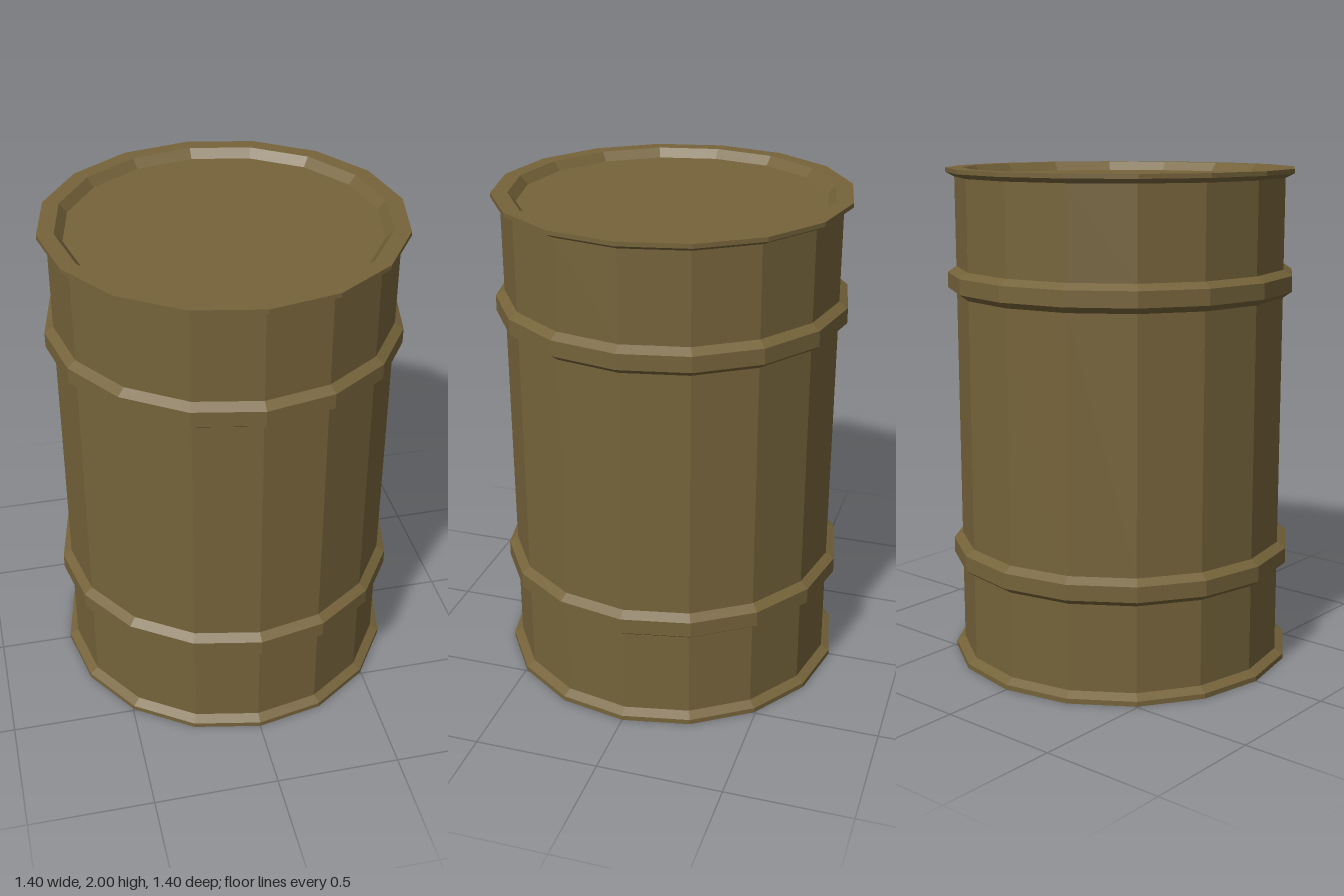
import * as THREE from 'three';

const SIDES = 16;
const WALL = 0.665; // drum wall radius
const RIM = 0.7;    // outer radius of rims and ribs

export function createModel() {
  const drum = new THREE.Group();
  drum.name = 'drum';
  const material = new THREE.MeshStandardMaterial({ color: 0x75633a, flatShading: true });

  // Turn a [radius, height] profile, listed bottom to top on the outside
  const turn = (name, profile) => {
    const points = profile.map(([r, y]) => new THREE.Vector2(r, y));
    const mesh = new THREE.Mesh(new THREE.LatheGeometry(points, SIDES), material);
    mesh.name = name;
    drum.add(mesh);
  };

  // Flat base with its flared bottom rim
  turn('baseRim', [[0, 0], [RIM, 0], [RIM, 0.02], [WALL, 0.04]]);

  // Three wall sections between the rims and ribs
  turn('lowerWall', [[WALL, 0.04], [WALL, 0.39]]);
  turn('middleWall', [[WALL, 0.5], [WALL, 1.5]]);
  turn('upperWall', [[WALL, 1.61], [WALL, 1.965]]);

  // Bevelled rolling ribs
  for (const [name, y] of [['lowerRib', 0.39], ['upperRib', 1.5]]) {
    turn(name, [[WALL, y], [RIM, y + 0.025], [RIM, y + 0.087], [WALL, y + 0.11]]);
  }

  // Top rim, sloping inward to the recessed lid
  turn('topRim', [[WALL, 1.965], [RIM, 1.983], [RIM, 2], [0.635, 2], [0.605, 1.965]]);
  turn('lid', [[0.605, 1.965], [0, 1.965]]);

  return drum;
}
